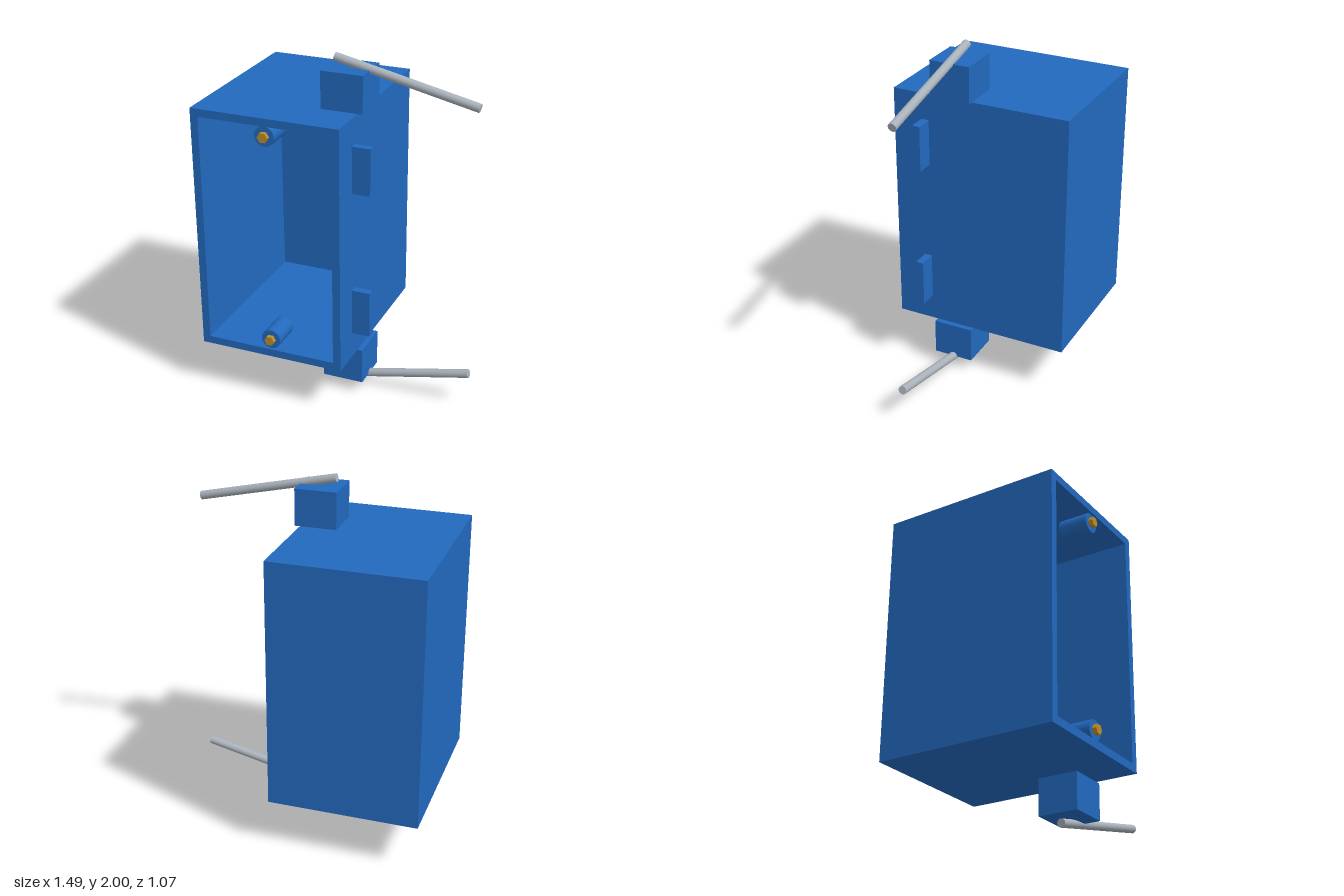
import * as THREE from 'three';

export function createModel() {
  const model = new THREE.Group();
  model.name = 'electricalBox';
  const material = (name, color) => {
    const m = new THREE.MeshStandardMaterial({ color });
    m.name = name;
    return m;
  };
  const blue = material('blue plastic', 0x2269be);
  const steel = material('grey steel', 0xa9b1ba);
  const brass = material('brass', 0xbb8c2a);

  const add = (name, geometry, mat, x, y, z) => {
    const mesh = new THREE.Mesh(geometry, mat);
    mesh.name = name;
    mesh.position.set(x, y, z);
    model.add(mesh);
    return mesh;
  };

  // Main dimensions: the box is mirrored about half its height
  const midX = -0.32, midY = 1.003, width = 0.858, height = 1.435;
  const back = -0.535, front = 0.515, wall = 0.045;

  // Four walls, open to the front
  const rectangle = (Type, w, h) => new Type([
    new THREE.Vector2(-w / 2, -h / 2), new THREE.Vector2(w / 2, -h / 2),
    new THREE.Vector2(w / 2, h / 2), new THREE.Vector2(-w / 2, h / 2),
  ]);
  const outline = rectangle(THREE.Shape, width, height);
  outline.holes.push(rectangle(THREE.Path, width - 2 * wall, height - 2 * wall));
  add('walls', new THREE.ExtrudeGeometry(outline, {
    depth: front - back - wall, bevelEnabled: false,
  }), blue, midX, midY, back + wall);

  // Back panel and the raised plate inside it
  add('backPanel', new THREE.BoxGeometry(width, height, wall), blue, midX, midY, back + wall / 2);
  add('innerPlate', new THREE.BoxGeometry(0.33, 0.21, 0.009), blue, midX - 0.003, 1.376, back + wall + 0.0045);

  for (const side of [1, -1]) {
    const end = side > 0 ? 'upper' : 'lower';

    // Screw boss with its brass insert
    const bossY = midY + side * 0.613;
    add(end + 'ScrewBoss', new THREE.CylinderGeometry(0.057, 0.057, 0.17, 32).rotateX(Math.PI / 2),
      blue, midX, bossY, 0.42);
    const hex = new THREE.CylinderGeometry(0.03, 0.03, 0.06, 6).toNonIndexed();
    hex.computeVertexNormals();
    hex.rotateY(Math.PI / 6).rotateX(Math.PI / 2);
    add(end + 'Screw', hex, brass, midX, bossY, 0.5);

    // Side tab
    add(end + 'SideTab', new THREE.BoxGeometry(0.106, 0.27, 0.045), blue,
      0.161, midY + side * 0.428, 0.322);

    // Clamp block
    add(end + 'ClampBlock', new THREE.BoxGeometry(0.24, 0.212, 0.238), blue,
      0.02, midY + side * 0.823, 0.15);

    // Sloping nail lying across the block
    const a = new THREE.Vector2(-0.065, midY + side * 0.975);
    const b = new THREE.Vector2(0.74, midY + side * 0.795);
    const nail = add(end + 'Nail', new THREE.CylinderGeometry(0.0245, 0.0245, a.distanceTo(b), 24), steel,
      (a.x + b.x) / 2, (a.y + b.y) / 2, 0.15);
    nail.rotation.z = Math.atan2(b.y - a.y, b.x - a.x) - Math.PI / 2;
  }

  return model;
}
